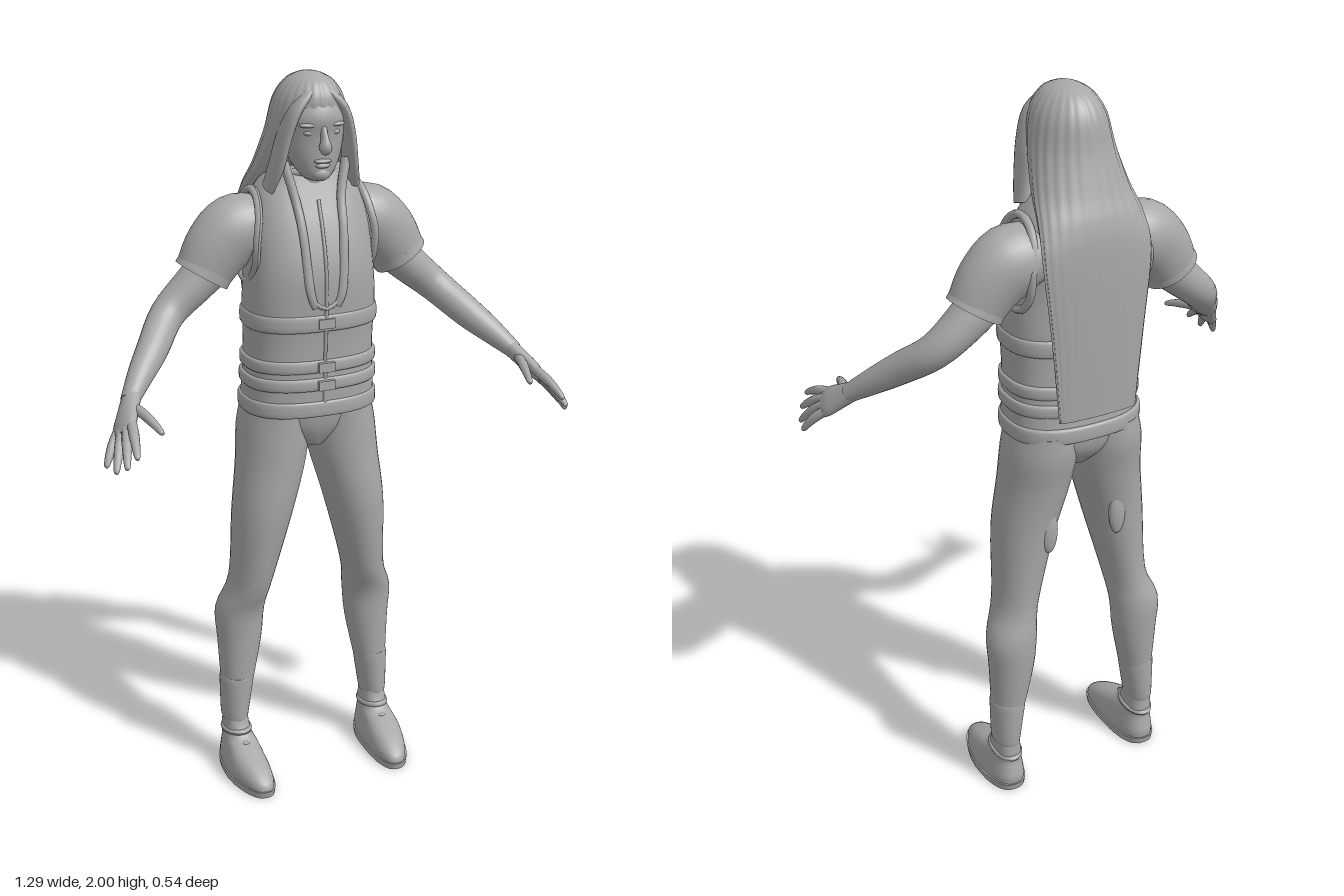
import * as THREE from 'three';

const grey = new THREE.MeshStandardMaterial({ color: 0xa8a8a8 });
grey.name = 'grey';

// Smoothly resample rows of numbers
function resample(rows, steps) {
  const out = [], last = rows.length - 1;
  for (let i = 0; i < last; i++) {
    for (let k = 0; k < steps; k++) {
      const t = k / steps;
      out.push(rows[i].map((b, c) => {
        const a = rows[Math.max(i - 1, 0)][c], d = rows[i + 1][c], e = rows[Math.min(i + 2, last)][c];
        const m0 = (d - a) / 2, m1 = (e - b) / 2, t2 = t * t, t3 = t2 * t;
        return (2 * t3 - 3 * t2 + 1) * b + (t3 - 2 * t2 + t) * m0 + (3 * t2 - 2 * t3) * d + (t3 - t2) * m1;
      }));
    }
  }
  out.push(rows[last].slice());
  return out;
}

// Skin a list of equal rings and cap both ends
function skin(rings) {
  const n = rings[0].length, pos = [], idx = [];
  rings.forEach(r => r.forEach(p => pos.push(p.x, p.y, p.z)));
  for (let i = 0; i < rings.length - 1; i++) {
    for (let j = 0; j < n; j++) {
      const a = i * n + j, b = i * n + (j + 1) % n;
      idx.push(a, a + n, b, b, a + n, b + n);
    }
  }
  [0, rings.length - 1].forEach(e => {
    const c = new THREE.Vector3(), base = pos.length / 3;
    rings[e].forEach(p => { c.add(p); pos.push(p.x, p.y, p.z); });
    c.divideScalar(n);
    pos.push(c.x, c.y, c.z);
    for (let j = 0; j < n; j++) {
      const k = base + (j + 1) % n;
      if (e) idx.push(base + j, base + n, k);
      else idx.push(base + j, k, base + n);
    }
  });
  const g = new THREE.BufferGeometry();
  g.setAttribute('position', new THREE.Float32BufferAttribute(pos, 3));
  g.setIndex(idx);
  g.computeVertexNormals();
  return g;
}

// Upright body from rows of [y, cx, cz, rx, rz], bottom to top
function upright(rows, { power = 2, n = 32, steps = 4, ripple = 0, waves = 0 } = {}) {
  const sp = v => Math.sign(v) * Math.pow(Math.abs(v), 2 / power);
  return skin(resample(rows, steps).map(([y, cx, cz, rx, rz]) =>
    Array.from({ length: n }, (_, j) => {
      const a = j / n * Math.PI * 2, w = 1 + ripple * Math.cos(waves * a);
      return new THREE.Vector3(cx + rx * w * sp(Math.cos(a)), y, cz + rz * w * sp(Math.sin(a)));
    })));
}

// Limb along a path from rows of [x, y, z, radiusSide, radiusDepth]
function limb(rows, n = 20, steps = 4) {
  const s = resample(rows, steps), pts = s.map(r => new THREE.Vector3(r[0], r[1], r[2]));
  return skin(s.map((r, i) => {
    const T = pts[Math.min(i + 1, s.length - 1)].clone().sub(pts[Math.max(i - 1, 0)]).normalize();
    const U = new THREE.Vector3(0, 0, 1).addScaledVector(T, -T.z).normalize();
    const V = U.clone().cross(T);
    return Array.from({ length: n }, (_, j) => {
      const a = j / n * Math.PI * 2;
      return pts[i].clone().addScaledVector(U, r[3] * Math.cos(a)).addScaledVector(V, r[4] * Math.sin(a));
    });
  }));
}

function tube(points, r, closed = false) {
  const c = new THREE.CatmullRomCurve3(points.map(p => new THREE.Vector3(...p)), closed);
  return new THREE.TubeGeometry(c, 40, r, 8, closed);
}

function blob(x, y, z, rx, ry, rz) {
  return new THREE.SphereGeometry(1, 24, 16).scale(rx, ry, rz).translate(x, y, z);
}

// Mirror across x, keeping faces outward
function mirrored(g) {
  const m = g.clone().scale(-1, 1, 1), ix = m.index.array;
  for (let i = 0; i < ix.length; i += 3) [ix[i], ix[i + 1]] = [ix[i + 1], ix[i]];
  m.computeVertexNormals();
  return m;
}

export function createModel() {
  const model = new THREE.Group();
  model.name = 'standingPerson';
  const add = (name, g) => {
    const mesh = new THREE.Mesh(g, grey);
    mesh.name = name;
    model.add(mesh);
  };
  const pair = (name, g) => { add(name + 'Left', g); add(name + 'Right', mirrored(g)); };

  // Head and face
  add('neck', upright([[1.62, 0, -0.1, 0.07, 0.06], [1.7, 0, -0.09, 0.056, 0.055], [1.79, 0, -0.08, 0.055, 0.055]]));
  add('head', upright([
    [1.732, 0, -0.03, 0.02, 0.025], [1.745, 0, -0.035, 0.04, 0.048], [1.79, 0, -0.05, 0.068, 0.066],
    [1.85, 0, -0.06, 0.082, 0.08], [1.9, 0, -0.065, 0.085, 0.092], [1.96, 0, -0.07, 0.06, 0.07],
  ]));
  add('nose', limb([[0, 1.875, 0.012, 0.012, 0.008], [0, 1.845, 0.027, 0.015, 0.01],
    [0, 1.822, 0.032, 0.018, 0.017], [0, 1.81, 0.025, 0.01, 0.01]].reverse(), 16));
  add('upperLip', blob(0, 1.786, 0.014, 0.024, 0.006, 0.012));
  add('lowerLip', blob(0, 1.774, 0.011, 0.02, 0.007, 0.012));
  add('chin', blob(0, 1.752, -0.002, 0.025, 0.02, 0.02));
  pair('eye', blob(0.034, 1.858, 0.006, 0.015, 0.008, 0.01));
  pair('brow', blob(0.035, 1.878, 0.008, 0.026, 0.007, 0.015));

  // Long hair
  add('hair', upright([
    [1.18, 0, -0.25, 0.11, 0.012], [1.4, 0, -0.25, 0.13, 0.018], [1.6, 0, -0.243, 0.15, 0.026],
    [1.69, 0, -0.208, 0.143, 0.052], [1.76, 0, -0.152, 0.127, 0.084], [1.85, 0, -0.105, 0.108, 0.104],
    [1.93, 0, -0.087, 0.09, 0.106], [1.975, 0, -0.082, 0.062, 0.08], [1.995, 0, -0.08, 0.03, 0.04], [2, 0, -0.08, 0.004, 0.005],
  ], { n: 96, steps: 5, ripple: 0.014, waves: 24 }));
  pair('sideLock', limb([[0.118, 1.71, -0.07, 0.03, 0.014], [0.102, 1.77, -0.05, 0.04, 0.016],
    [0.086, 1.85, -0.03, 0.038, 0.016], [0.06, 1.92, -0.012, 0.03, 0.014], [0.012, 1.965, -0.02, 0.02, 0.012]]));
  pair('chestLock', limb([[0.03, 1.41, 0.04, 0.006, 0.01], [0.046, 1.46, 0.042, 0.008, 0.012],
    [0.056, 1.6, 0.02, 0.009, 0.012], [0.064, 1.69, -0.018, 0.012, 0.012], [0.086, 1.78, -0.04, 0.014, 0.013]], 12));

  // Vest
  const vest = [
    [1.115, 0, -0.105, 0.183, 0.133], [1.2, 0, -0.1, 0.178, 0.13], [1.3, 0, -0.095, 0.175, 0.127], [1.4, 0, -0.09, 0.178, 0.13],
    [1.5, 0, -0.09, 0.172, 0.13], [1.6, 0, -0.105, 0.165, 0.12], [1.68, 0, -0.115, 0.148, 0.098],
    [1.73, 0, -0.115, 0.115, 0.078], [1.765, 0, -0.108, 0.08, 0.06],
  ];
  add('vest', upright(vest, { power: 2.5, n: 48 }));
  const band = (name, y, h, cz, rx, rz, out) => add(name, upright([
    [y - h, 0, cz, rx, rz], [y - h * 0.7, 0, cz, rx + out, rz + out],
    [y + h * 0.7, 0, cz, rx + out, rz + out], [y + h, 0, cz, rx, rz]], { power: 2.5, n: 48, steps: 3 }));
  band('hemBand', 1.125, 0.022, -0.105, 0.182, 0.133, 0.006);
  band('lowerStrap', 1.195, 0.018, -0.1, 0.177, 0.129, 0.008);
  band('middleStrap', 1.245, 0.018, -0.098, 0.175, 0.127, 0.008);
  band('upperStrap', 1.365, 0.024, -0.092, 0.175, 0.127, 0.008);
  for (const y of [1.195, 1.245, 1.365]) {
    add('buckle', new THREE.BoxGeometry(0.045, 0.026, 0.012).translate(0, y, 0.042));
  }
  add('frontSeam', tube([[0, 1.11, 0.028], [0, 1.25, 0.031], [0, 1.4, 0.04], [0, 1.5, 0.04], [0, 1.6, 0.016], [0, 1.68, -0.016]], 0.005));
  add('necklineEdge', tube([[0.075, 1.735, -0.045], [0.066, 1.66, -0.004], [0.058, 1.55, 0.031], [0.045, 1.44, 0.041], [0, 1.405, 0.041],
    [-0.045, 1.44, 0.041], [-0.058, 1.55, 0.031], [-0.066, 1.66, -0.004], [-0.075, 1.735, -0.045]], 0.006));
  add('collar', new THREE.TorusGeometry(1, 0.13, 10, 32).rotateX(Math.PI / 2).scale(0.085, 0.085, 0.066).translate(0, 1.748, -0.108));
  const hole = Array.from({ length: 12 }, (_, i) => {
    const a = i / 12 * Math.PI * 2;
    return [0.165 - 0.02 * Math.max(0, Math.sin(a)), 1.58 + 0.12 * Math.sin(a), -0.12 + 0.093 * Math.cos(a)];
  });
  pair('armholeEdge', tube(hole, 0.011, true));

  // Arms
  pair('sleeve', limb([[0.12, 1.605, -0.135, 0.08, 0.075], [0.185, 1.595, -0.135, 0.087, 0.092],
    [0.24, 1.548, -0.132, 0.078, 0.088], [0.28, 1.488, -0.13, 0.067, 0.076]], 28));
  pair('sleeveCuff', limb([[0.271, 1.502, -0.13, 0.069, 0.077], [0.284, 1.481, -0.13, 0.07, 0.078]], 28, 2));
  pair('arm', limb([[0.25, 1.51, -0.13, 0.055, 0.06], [0.31, 1.455, -0.13, 0.053, 0.053], [0.385, 1.39, -0.115, 0.045, 0.046],
    [0.45, 1.325, -0.04, 0.04, 0.042], [0.5, 1.278, 0.015, 0.033, 0.034], [0.545, 1.233, 0.068, 0.026, 0.023]], 24));
  pair('palm', limb([[0.537, 1.24, 0.06, 0.027, 0.023], [0.558, 1.214, 0.095, 0.036, 0.021],
    [0.575, 1.192, 0.126, 0.043, 0.019], [0.588, 1.175, 0.15, 0.038, 0.012]]));
  const fingers = [
    ['indexFinger', [0.566, 1.198, 0.163], [0.586, 1.155, 0.272]],
    ['middleFinger', [0.58, 1.184, 0.158], [0.608, 1.125, 0.255]],
    ['ringFinger', [0.591, 1.172, 0.145], [0.627, 1.104, 0.22]],
    ['littleFinger', [0.599, 1.162, 0.125], [0.639, 1.104, 0.17]],
    ['thumb', [0.54, 1.222, 0.105], [0.508, 1.195, 0.23]],
  ];
  for (const [name, a, b] of fingers) {
    const at = (t, lift, r) => [...a.map((v, i) => v + (b[i] - v) * t + (i === 1 ? lift : 0)), r, r];
    pair(name, limb([at(-0.15, 0, 0.013), at(0.35, 0.006, 0.013), at(0.75, 0.004, 0.01), at(0.95, 0, 0.007), at(1, 0, 0.003)], 12, 3));
  }

  // Trousers
  add('pelvis', upright([[1.0, 0, -0.1, 0.04, 0.07], [1.05, 0, -0.11, 0.13, 0.105], [1.1, 0, -0.112, 0.172, 0.118], [1.14, 0, -0.11, 0.17, 0.118]]));
  pair('leg', upright([
    [0.25, 0.21, -0.132, 0.044, 0.052], [0.4, 0.198, -0.137, 0.063, 0.063], [0.5, 0.195, -0.135, 0.07, 0.07],
    [0.6, 0.17, -0.11, 0.06, 0.08], [0.8, 0.138, -0.097, 0.083, 0.098], [0.95, 0.108, -0.105, 0.096, 0.108],
    [1.05, 0.097, -0.115, 0.098, 0.118], [1.12, 0.09, -0.115, 0.09, 0.118],
  ]));
  pair('thighPatch', blob(0.105, 0.83, -0.185, 0.025, 0.07, 0.016));

  // Ankle cuffs and shoes
  pair('ankleCuff', upright([[0.15, 0.217, -0.134, 0.036, 0.05], [0.17, 0.217, -0.134, 0.039, 0.053],
    [0.27, 0.21, -0.133, 0.048, 0.056], [0.29, 0.209, -0.133, 0.046, 0.055]]));
  // Narrow the toe of each foot
  const taper = g => {
    const p = g.attributes.position;
    for (let i = 0; i < p.count; i++) {
      const t = Math.max(0, p.getZ(i) + 0.03) / 0.13;
      p.setX(i, 0.215 + (p.getX(i) - 0.215) * (1 - 0.2 * t) - 0.012 * t);
    }
    g.computeVertexNormals();
    return g;
  };
  pair('shoe', taper(upright([
    [0.018, 0.215, -0.045, 0.056, 0.143], [0.04, 0.215, -0.05, 0.056, 0.14], [0.065, 0.215, -0.067, 0.051, 0.118],
    [0.09, 0.215, -0.095, 0.044, 0.085], [0.115, 0.216, -0.125, 0.037, 0.058], [0.17, 0.217, -0.134, 0.032, 0.046],
  ], { power: 2.5 })));
  pair('sole', taper(upright([[0, 0.215, -0.045, 0.058, 0.143], [0.02, 0.215, -0.045, 0.06, 0.147]], { power: 2.6, steps: 1 })));
  pair('shoeCollar', new THREE.TorusGeometry(1, 0.16, 8, 28).rotateX(Math.PI / 2 - 0.15).scale(0.037, 0.05, 0.056).translate(0.216, 0.115, -0.127));
  for (const [y, z, w] of [[0.083, -0.018, 0.03], [0.1, -0.045, 0.028]]) {
    pair('shoeLace', tube([[0.214 - w, y - 0.012, z - 0.025], [0.214, y, z], [0.214 + w, y - 0.012, z - 0.025]], 0.006));
  }
  return model;
}
